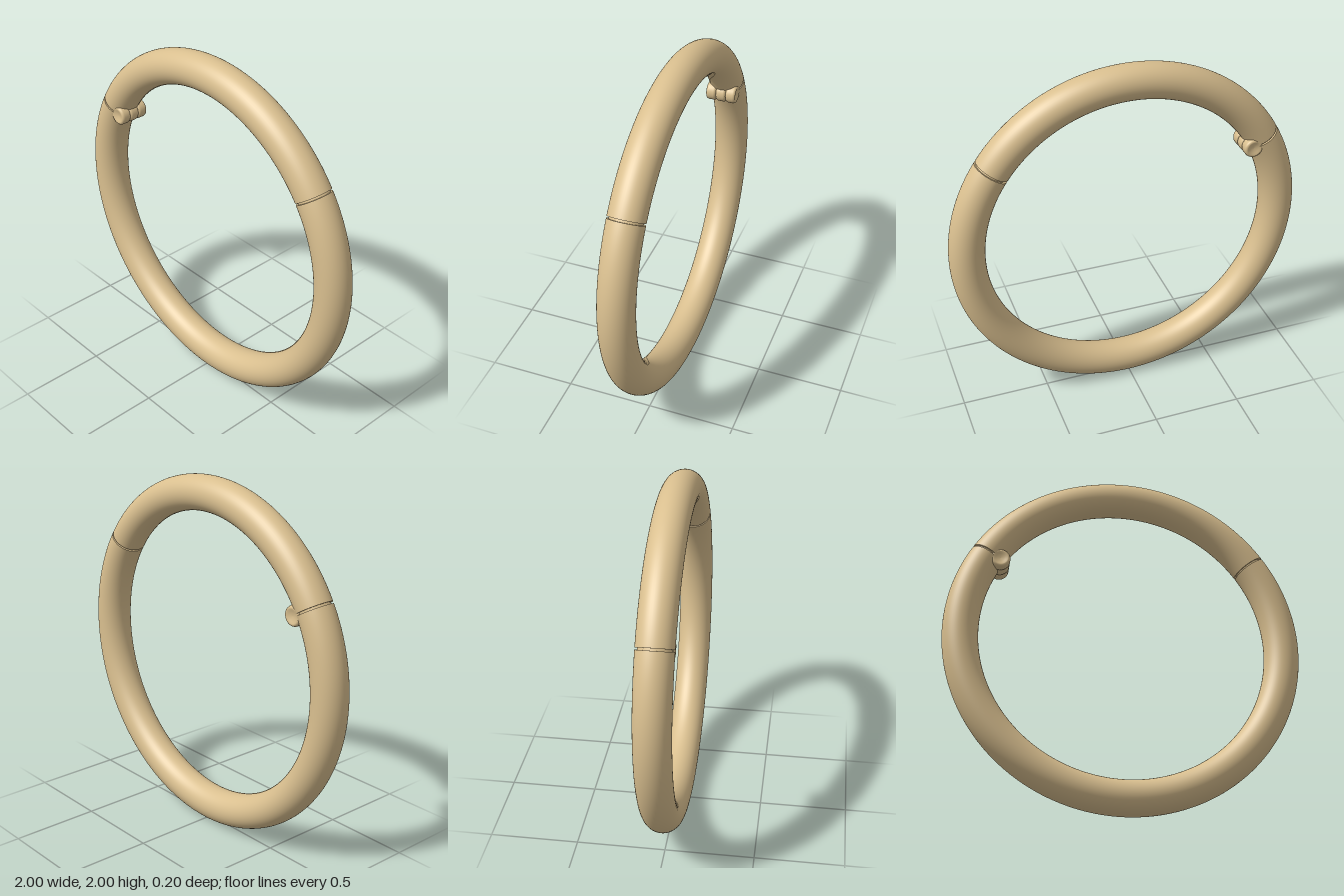
import * as THREE from 'three';

const RING = 0.902, TUBE = 0.098;
const rad = THREE.MathUtils.degToRad;

export function createModel() {
  const gold = new THREE.MeshStandardMaterial({ color: 0xd9bf8f });
  gold.name = 'pale gold';
  const model = new THREE.Group();
  model.name = 'hingedRing';

  // The ring stands upright, its axis along z
  const ring = new THREE.Group();
  ring.name = 'ring';
  ring.position.y = 1;
  model.add(ring);

  // A piece of the round bar between two angles, closed by flat ends
  function addArc(name, from, to, radius, segments) {
    const arc = new THREE.Group();
    arc.name = name;
    const bar = new THREE.Mesh(
      new THREE.TorusGeometry(RING, radius, 48, segments, rad(to - from)), gold);
    bar.name = name + 'Bar';
    bar.rotation.z = rad(from);
    arc.add(bar);
    for (const [angle, turn] of [[from, Math.PI / 2], [to, -Math.PI / 2]]) {
      const pivot = new THREE.Group();
      pivot.name = name + 'End';
      pivot.rotation.z = rad(angle);
      const end = new THREE.Mesh(new THREE.CircleGeometry(radius, 48), gold);
      end.name = name + 'EndFace';
      end.position.x = RING;
      end.rotation.x = turn;
      pivot.add(end);
      arc.add(pivot);
    }
    ring.add(arc);
  }

  // Two segments that meet at the hinge seam and at the clasp seam
  const clasp = 35.3, hinge = 149.8, gap = 0.35;
  addArc('openingSegment', clasp + gap, hinge - gap, TUBE, 100);
  addArc('mainSegment', hinge + gap, clasp + 360 - gap, TUBE, 200);

  // Narrower cores that close the bottom of each seam groove
  addArc('claspCore', clasp - 1, clasp + 1, TUBE - 0.012, 2);
  addArc('hingeCore', hinge - 1, hinge + 1, TUBE - 0.012, 2);

  // Hinge barrel: three rounded knuckles with shallow dished ends
  const R = 0.055, H = 0.029;
  const half = [[0, H - 0.009], [0.014, H - 0.008], [0.028, H - 0.004], [0.038, H - 0.0005],
    [0.043, H], [0.048, H - 0.002], [0.052, H - 0.006], [R, H - 0.014]];
  const profile = [
    ...half.map(([x, y]) => new THREE.Vector2(x, -y)),
    ...half.slice().reverse().map(([x, y]) => new THREE.Vector2(x, y)),
  ];
  const knuckleGeometry = new THREE.LatheGeometry(profile, 40);
  knuckleGeometry.rotateX(Math.PI / 2);
  const barrel = new THREE.Group();
  barrel.name = 'hingeBarrel';
  barrel.position.set(-0.708, 1.415, 0);
  for (const i of [-1, 0, 1]) {
    const knuckle = new THREE.Mesh(knuckleGeometry, gold);
    knuckle.name = 'hingeKnuckle';
    knuckle.position.z = i * 0.058;
    barrel.add(knuckle);
  }
  model.add(barrel);

  return model;
}
